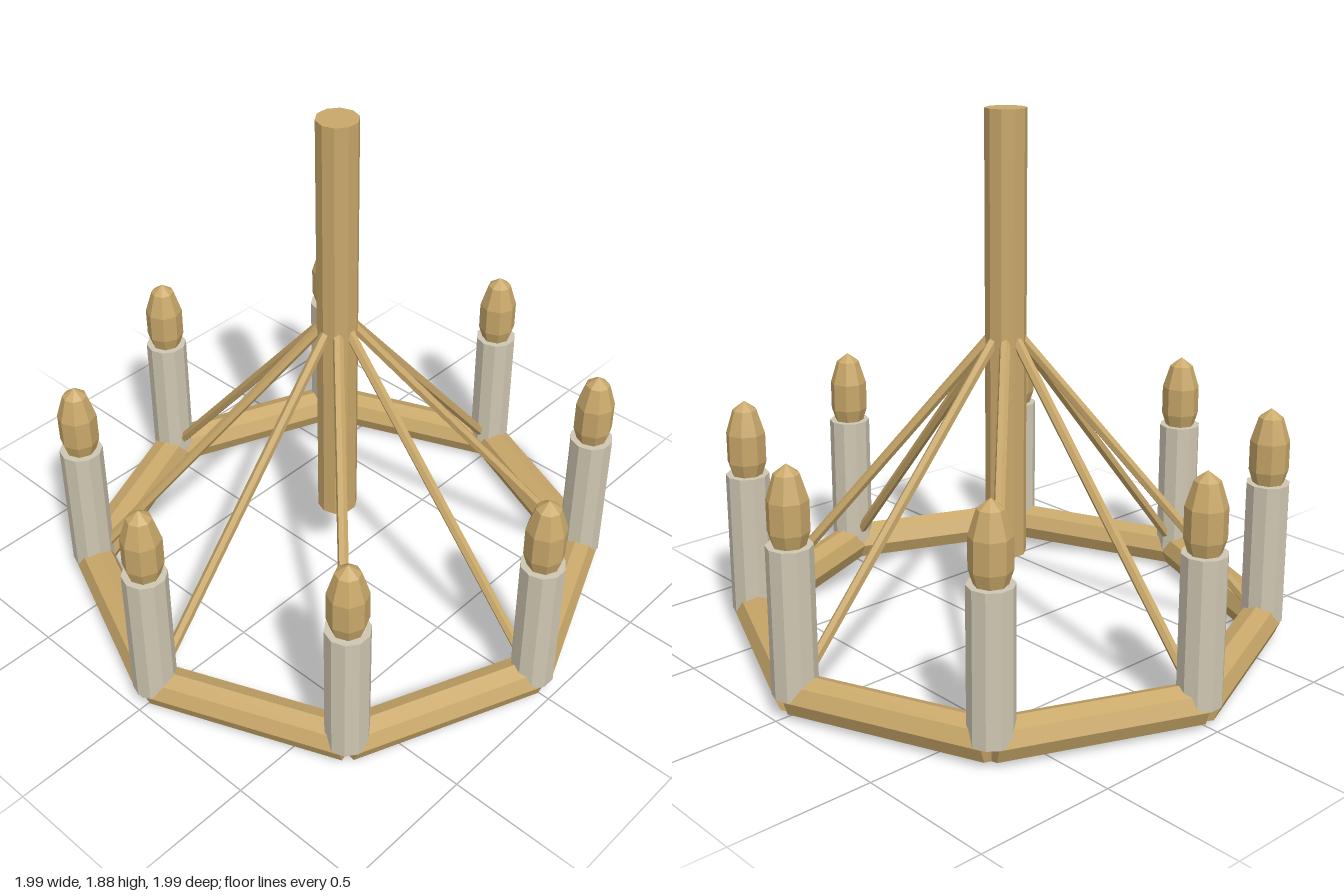
import * as THREE from 'three';

export function createModel() {
  const root = new THREE.Group();
  root.name = 'chandelier';

  const brass = new THREE.MeshStandardMaterial({ color: 0xc9a86a, flatShading: true });
  brass.name = 'brass';
  const wax = new THREE.MeshStandardMaterial({ color: 0xcfc7b2, flatShading: true });
  wax.name = 'candle wax';

  const COUNT = 8;
  const RADIUS = 0.92;
  const RING_Y = 0.072;

  const add = (name, geometry, material, parent = root) => {
    const mesh = new THREE.Mesh(geometry, material);
    mesh.name = name;
    parent.add(mesh);
    return mesh;
  };

  // Straight rod between two points
  const up = new THREE.Vector3(0, 1, 0);
  const rod = (name, a, b, radius, sides) => {
    const dir = b.clone().sub(a);
    const mesh = add(name, new THREE.CylinderGeometry(radius, radius, dir.length(), sides), brass);
    mesh.position.copy(a).add(b).multiplyScalar(0.5);
    mesh.quaternion.setFromUnitVectors(up, dir.normalize());
    return mesh;
  };

  // Point on a circle around the vertical axis
  const around = (i, radius, y) => {
    const a = (i / COUNT) * Math.PI * 2;
    return new THREE.Vector3(Math.cos(a) * radius, y, Math.sin(a) * radius);
  };

  // Central pole
  const pole = add('centrePole', new THREE.CylinderGeometry(0.072, 0.072, 1.573, 10), brass);
  pole.position.y = 0.312 + 1.573 / 2;

  const candleGeometry = new THREE.CylinderGeometry(0.077, 0.077, 0.515, 10);
  const flameGeometry = new THREE.SphereGeometry(0.073, 8, 5).scale(1, 0.17 / 0.073, 1);

  for (let i = 0; i < COUNT; i++) {
    // Ring beam: its octagonal section has a vertex on top
    const a = around(i, RADIUS, RING_Y);
    const b = around(i + 1, RADIUS, RING_Y);
    const beam = add('ringBeam', new THREE.CylinderGeometry(0.072, 0.072, a.distanceTo(b), 8)
      .rotateX(Math.PI / 2), brass);
    beam.position.copy(a).add(b).multiplyScalar(0.5);
    beam.lookAt(b);

    // Slanted brace up to the pole
    rod('brace', a, around(i, 0.045, 1.112), 0.019, 6);

    // Candle with its faceted flame
    const candle = new THREE.Group();
    candle.name = 'candle';
    candle.position.copy(around(i, RADIUS, 0));
    root.add(candle);
    add('candleStick', candleGeometry, wax, candle).position.y = 0.075 + 0.515 / 2;
    add('flame', flameGeometry, brass, candle).position.y = 0.69;
  }

  return root;
}
